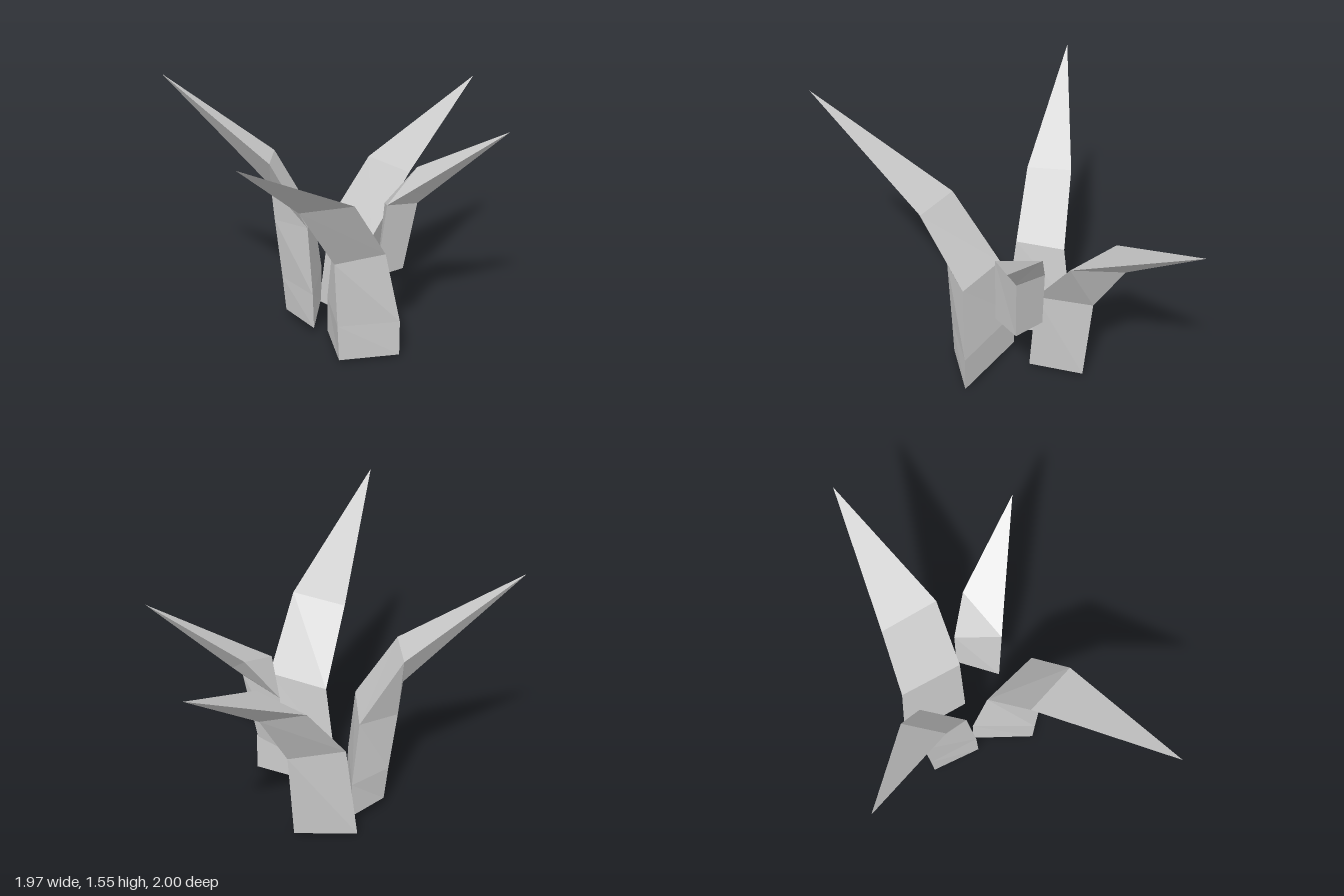
import * as THREE from 'three';

// Each leaf: three-cornered rings from base upward (two inner edges, one outer keel), then a tip.
// Corners run clockwise seen from above.
const LEAVES = {
  frontLeaf: {
    rings: [
      [[-0.05, 0.02, -0.14], [0.35, 0.02, 0.19], [-0.01, 0.02, 0.23]],
      [[-0.05, 0.25, -0.14], [0.35, 0.24, 0.19], [-0.02, 0.25, 0.24]],
      [[-0.02, 0.67, -0.05], [0.26, 0.68, 0.19], [-0.04, 0.66, 0.26]],
      [[-0.2, 1.06, 0.21], [0.06, 1.08, 0.41], [-0.25, 1.09, 0.5]],
    ],
    tip: [-0.58, 1.55, 1.0],
  },
  rightLeaf: {
    rings: [
      [[-0.065, 0.06, -0.48], [-0.135, 0.06, -0.1], [-0.29, 0.06, -0.36]],
      [[-0.06, 0.28, -0.48], [-0.14, 0.28, -0.11], [-0.31, 0.28, -0.37]],
      [[-0.11, 0.66, -0.44], [-0.165, 0.7, -0.16], [-0.35, 0.66, -0.39]],
      [[-0.34, 1.07, -0.5], [-0.38, 1.08, -0.245], [-0.37, 0.88, -0.4]],
    ],
    tip: [-0.99, 1.55, -0.55],
  },
  leftLeaf: {
    rings: [
      [[0.23, 0.445, 0.0], [0.29, 0.445, -0.265], [0.4, 0.445, -0.1]],
      [[0.285, 0.905, 0.01], [0.305, 0.8, -0.27], [0.475, 0.87, -0.09]],
      [[0.42, 0.987, 0.01], [0.49, 1.04, -0.23], [0.53, 0.92, -0.08]],
    ],
    tip: [0.98, 1.335, 0.015],
  },
  backLeaf: {
    rings: [
      [[0.17, 0.03, -0.21], [-0.07, 0.0, -0.57], [0.29, 0.03, -0.515]],
      [[0.22, 0.58, -0.235], [0.0, 0.58, -0.56], [0.33, 0.58, -0.55]],
      [[0.465, 0.945, -0.385], [0.25, 0.94, -0.68], [0.51, 0.945, -0.685]],
    ],
    tip: [0.945, 1.34, -1.0],
  },
};

// Skins the rings, closes the base and draws the last ring to a point
function leafGeometry({ rings, tip }) {
  const corners = [];
  const tri = (a, b, c) => corners.push(...a, ...b, ...c);
  tri(...rings[0]);
  rings.forEach((ring, r) => {
    const next = rings[r + 1];
    for (let i = 0; i < 3; i++) {
      const j = (i + 1) % 3;
      if (next) {
        tri(ring[i], next[i], next[j]);
        tri(ring[i], next[j], ring[j]);
      } else {
        tri(ring[i], tip, ring[j]);
      }
    }
  });
  const geometry = new THREE.BufferGeometry();
  geometry.setAttribute('position', new THREE.Float32BufferAttribute(corners, 3));
  geometry.computeVertexNormals();
  return geometry;
}

export function createModel() {
  const model = new THREE.Group();
  model.name = 'leafCluster';
  const material = new THREE.MeshStandardMaterial({ color: 0xcccccc, flatShading: true });
  for (const [name, leaf] of Object.entries(LEAVES)) {
    const mesh = new THREE.Mesh(leafGeometry(leaf), material);
    mesh.name = name;
    model.add(mesh);
  }
  return model;
}
